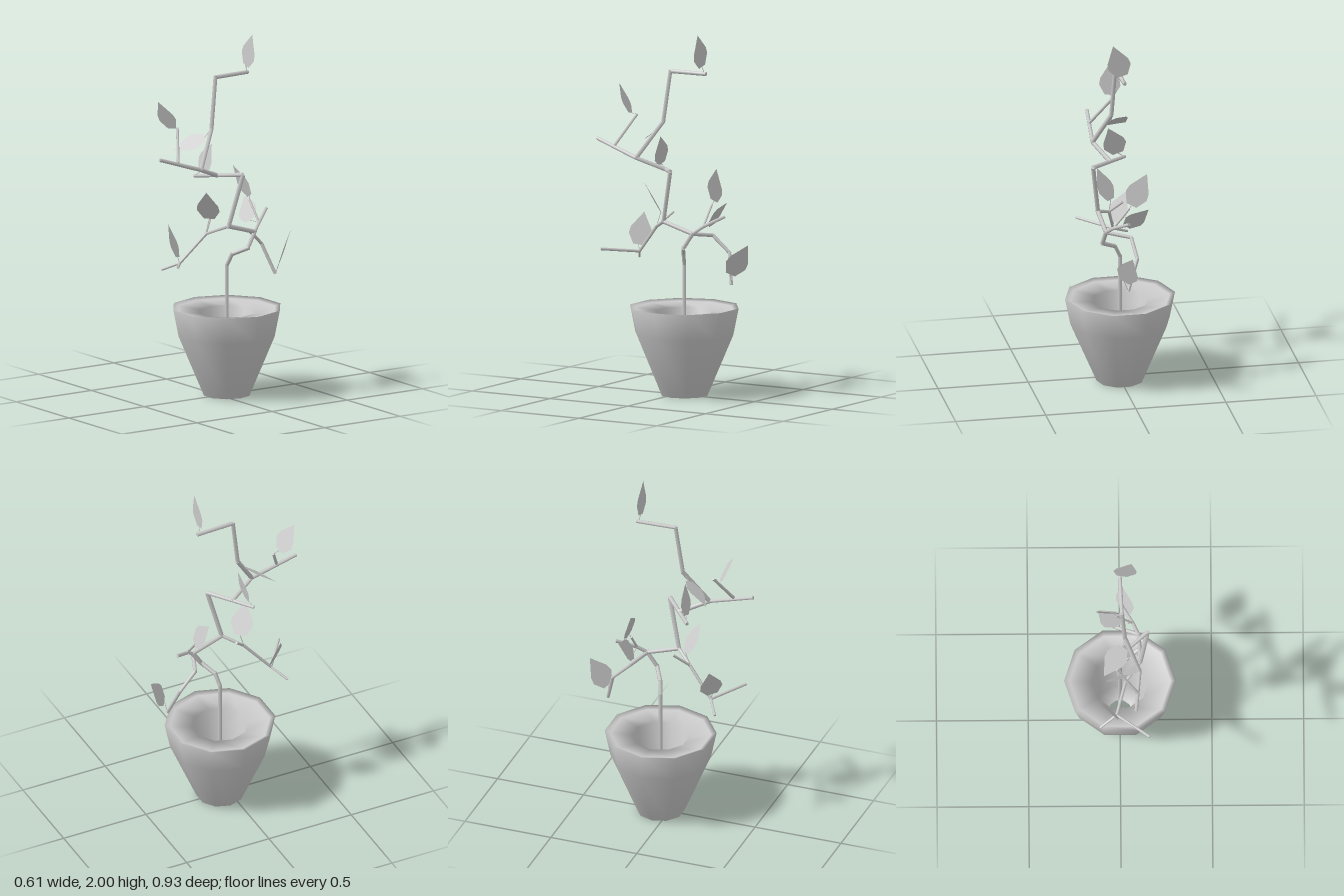
import * as THREE from 'three';

const grey = new THREE.MeshStandardMaterial({ color: 0xcccccc });
const thin = new THREE.MeshStandardMaterial({ color: 0xcccccc, side: THREE.DoubleSide });
const vec = (a) => new THREE.Vector3(...a);

// Straight tapered rod between two points
function rod(a, b, r0, r1, name) {
  const dir = b.clone().sub(a);
  const mesh = new THREE.Mesh(new THREE.CylinderGeometry(r1, r0, dir.length(), 6), grey);
  mesh.position.copy(a).addScaledVector(dir, 0.5);
  mesh.quaternion.setFromUnitVectors(new THREE.Vector3(0, 1, 0), dir.normalize());
  mesh.name = name;
  return mesh;
}

// Angular branch through a list of points, slightly overlapping at the joints
function branch(name, r0, r1, points) {
  const group = new THREE.Group();
  group.name = name;
  const p = points.map(vec);
  const n = p.length - 1;
  for (let i = 0; i < n; i++) {
    const end = p[i + 1].clone();
    if (i < n - 1) end.addScaledVector(end.clone().sub(p[i]).normalize(), r1 * 0.6);
    const r = (k) => r0 + ((r1 - r0) * k) / n;
    group.add(rod(p[i], end, r(i), r(i + 1), name + 'Segment'));
  }
  return group;
}

// Flat pointed leaf from base to tip, widened along side, with a fine stalk
function leaf(stalk, base, tip, side) {
  const group = new THREE.Group();
  group.name = 'leaf';
  const b = vec(base);
  const up = vec(tip).sub(b);
  const length = up.length();
  up.normalize();
  const across = vec(side);
  across.addScaledVector(up, -across.dot(up)).normalize();

  const outline = [[0.03, 0], [0.064, 0.3], [0.058, 0.5], [0, 1], [-0.058, 0.5], [-0.064, 0.3], [-0.03, 0]];
  const shape = new THREE.Shape(outline.map(([w, t]) => new THREE.Vector2(w, t * length)));
  const blade = new THREE.Mesh(new THREE.ShapeGeometry(shape), thin);
  blade.name = 'leafBlade';
  blade.quaternion.setFromRotationMatrix(
    new THREE.Matrix4().makeBasis(across, up, across.clone().cross(up)));
  blade.position.copy(b);
  group.add(blade, rod(vec(stalk), b, 0.002, 0.002, 'leafStalk'));
  return group;
}

// Ten-sided thick pot with a drain hole
function makePot() {
  const profile = [
    [0.065, 0], [0.13, 0], [0.275, 0.34], [0.305, 0.487], [0.275, 0.475],
    [0.155, 0.46], [0.13, 0.06], [0.065, 0],
  ].map(([r, y]) => new THREE.Vector2(r, y));
  const geometry = new THREE.LatheGeometry(profile, 10);
  geometry.rotateY(Math.PI / 2);
  const pot = new THREE.Mesh(geometry, thin);
  pot.name = 'pot';
  pot.position.z = -0.05;
  return pot;
}

export function createModel() {
  const model = new THREE.Group();
  model.name = 'pottedPlant';
  model.add(makePot());

  // Main stem and the forks shared by the side branches
  const fork = [0.1, 0.91, -0.165];
  const knee = [0.11, 0.965, 0.015];
  const crown = [0.15, 1.25, -0.053];
  const shelf = [0.035, 1.238, 0.04];
  const upper = [0.105, 1.3, 0.195];
  const lowEnd = [-0.02, 0.765, 0.25];
  model.add(
    branch('mainStem', 0.011, 0.013, [
      [0, 0.01, -0.05], [0, 0.72, -0.05], [0.03, 0.785, -0.063], [0.11, 0.827, -0.112], fork, knee, crown]),
    branch('shelfBranch', 0.013, 0.01, [crown, [-0.06, 1.23, 0.127]]),
    branch('upperFrontBranch', 0.013, 0.01, [shelf, upper, [0.085, 1.385, 0.457]]),
    branch('topStem', 0.013, 0.011, [upper, [0.025, 1.5, 0.07], [0.01, 1.78, 0.033], [0, 1.78, -0.19]]),
    branch('upperTwig', 0.009, 0.008, [[0.095, 1.355, 0.34], [-0.02, 1.52, 0.265]]),
    branch('backBranch', 0.01, 0.01, [fork, [0.07, 0.95, -0.215], [0, 1.005, -0.312]]),
    branch('backTwig', 0.007, 0.006, [[0.07, 0.95, -0.215], [-0.02, 1.06, -0.215]]),
    branch('backDroopingBranch', 0.011, 0.009, [
      fork, [-0.03, 0.89, -0.215], [-0.045, 0.8, -0.312], [0.015, 0.635, -0.362]]),
    branch('frontDroopingBranch', 0.01, 0.008, [knee, [0.03, 0.92, 0.11], lowEnd]),
    branch('frontTwig', 0.007, 0.007, [[0.03, 0.92, 0.11], [-0.03, 1.0, 0.035]]),
    branch('frontRightFoot', 0.007, 0.007, [lowEnd, [-0.11, 0.72, 0.307]]),
    branch('frontLeftFoot', 0.008, 0.008, [lowEnd, [0.16, 0.79, 0.387]]),
  );

  // Leaves: stalk start, base, tip, width direction
  const leaves = [
    [[0, 1.78, -0.18], [0.01, 1.82, -0.17], [0.063, 2.0, -0.175], [1, -0.3, 0.05]],
    [[-0.02, 1.52, 0.265], [-0.012, 1.525, 0.305], [-0.03, 1.68, 0.387], [1, 0, -0.3]],
    [[0.025, 1.5, 0.07], [0.015, 1.455, 0.11], [-0.09, 1.38, 0.25], [0.09, -0.05, 0.04]],
    [[-0.06, 1.23, 0.127], [-0.02, 1.26, 0.107], [0.04, 1.42, 0.078], [1, -0.4, 0.1]],
    [[-0.02, 1.06, -0.215], [-0.03, 1.08, -0.222], [-0.125, 1.24, -0.178], [1, 0.5, 0.2]],
    [[0.07, 0.95, -0.215], [-0.005, 0.95, -0.205], [-0.12, 1.06, -0.25], [0.7, 0.6, -0.4]],
    [[0.03, 0.92, 0.11], [0.025, 1.0, 0.085], [0.09, 1.165, 0.15], [0.1, -0.02, -0.1]],
    [lowEnd, [-0.025, 0.8, 0.26], [-0.1, 0.97, 0.27], [0.06, 0.03, 0.09]],
    [[0.015, 0.635, -0.362], [0.038, 0.695, -0.37], [0.01, 0.86, -0.466], [0.08, 0.04, 0.055]],
  ];
  for (const spec of leaves) model.add(leaf(...spec));
  return model;
}
